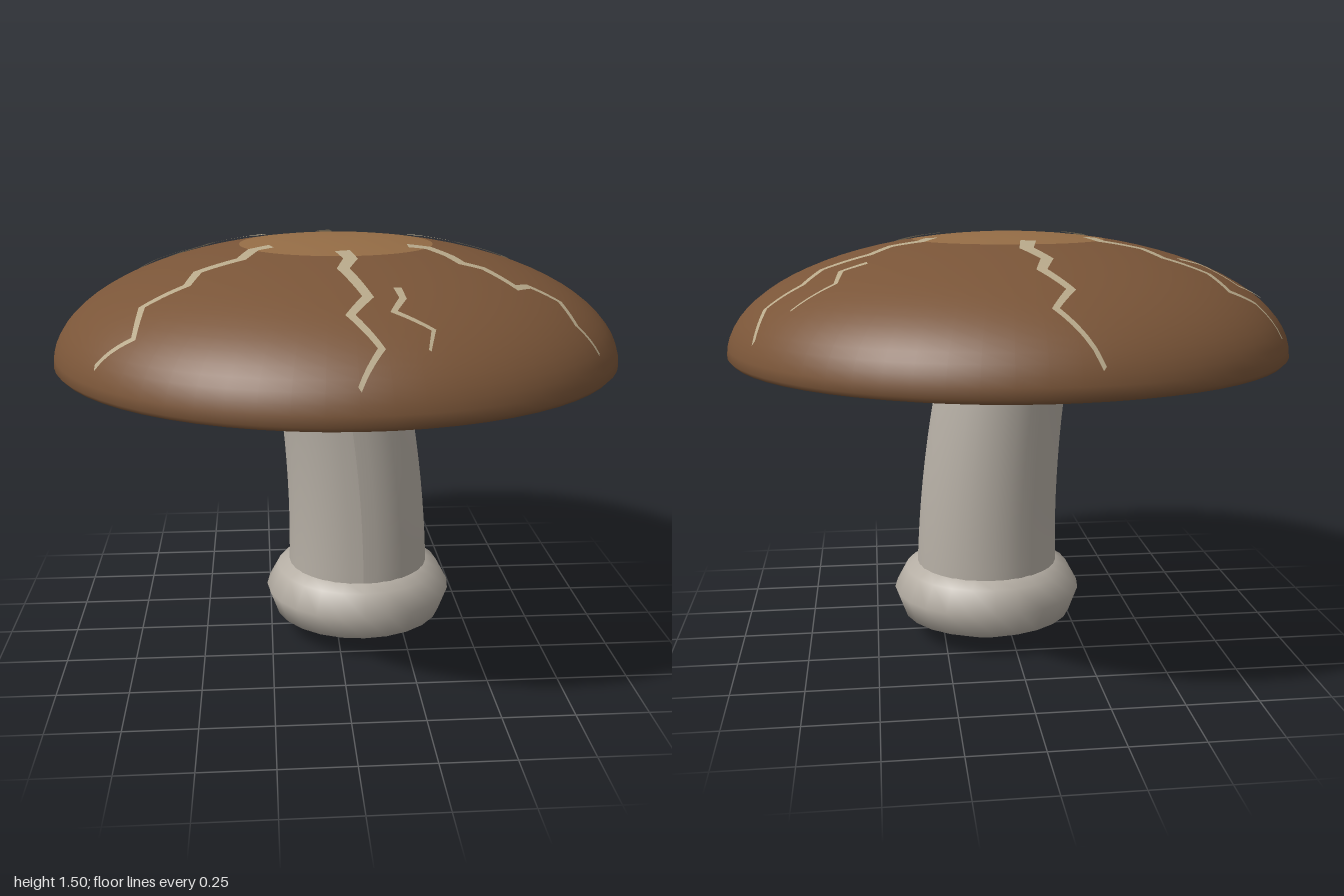
import * as THREE from 'three';

const mat = (name, color, side = THREE.FrontSide) => {
  const m = new THREE.MeshStandardMaterial({ color, side });
  m.name = name;
  return m;
};

// Dome shared by the cap and its cracks: a flattened half ellipsoid
const RIM_Y = 1.09, DOME_H = 0.415;

function domePoint(x, z, lift) {
  const r = Math.hypot(x, z), k = r > 0.985 ? 0.985 / r : 1;
  x *= k; z *= k;
  const h = Math.sqrt(1 - x * x - z * z);
  const normal = new THREE.Vector3(x, h / DOME_H, z).normalize();
  return new THREE.Vector3(x, RIM_Y + DOME_H * h, z).addScaledVector(normal, lift);
}

// Dome profile between two polar angles, in degrees from the top
function domeProfile(from, to, steps) {
  return Array.from({ length: steps + 1 }, (_, i) => {
    const a = THREE.MathUtils.degToRad(from + (to - from) * i / steps);
    return new THREE.Vector2(Math.max(0, Math.sin(a)), RIM_Y + DOME_H * Math.cos(a));
  });
}

// Tapered, mitred ribbon laid over the dome along a zigzag of [x, z] points
function crackGeometry(path, startWidth, endWidth) {
  const pts = path.map(([x, z]) => new THREE.Vector2(x, z));
  const last = pts.length - 1, STEPS = 5;
  const edges = pts.map((p, i) => {
    const d0 = pts[Math.max(i, 1)].clone().sub(pts[Math.max(i, 1) - 1]).normalize();
    const j = Math.min(i, last - 1);
    const d1 = pts[j + 1].clone().sub(pts[j]).normalize();
    const t = d0.clone().add(d1).normalize();
    const miter = Math.min(1.4, 1 / Math.max(0.3, t.dot(d1)));
    const w = THREE.MathUtils.lerp(startWidth, endWidth, i / last) / 2 * miter;
    const n = new THREE.Vector2(t.y, -t.x).multiplyScalar(w);
    return [p.clone().add(n), p.clone().sub(n)];
  });
  const pos = [], index = [];
  for (let i = 0; i <= last * STEPS; i++) {
    const s = Math.min(last - 1, Math.floor(i / STEPS)), f = i / STEPS - s;
    for (const side of [0, 1]) {
      const q = edges[s][side].clone().lerp(edges[s + 1][side], f);
      pos.push(...domePoint(q.x, q.y, 0.007).toArray());
    }
    if (i) {
      const a = 2 * i - 2;
      index.push(a, a + 2, a + 1, a + 1, a + 2, a + 3);
    }
  }
  const g = new THREE.BufferGeometry();
  g.setAttribute('position', new THREE.Float32BufferAttribute(pos, 3));
  g.setIndex(index);
  g.computeVertexNormals();
  return g;
}

const MAIN_CRACKS = [
  [[0, .30], [.02, .39], [-.01, .48], [.05, .67], [-.01, .76], [.07, .88], [0, .97]],
  [[.23, .19], [.30, .19], [.36, .27], [.39, .335], [.46, .345], [.55, .45], [.60, .40], [.70, .42], [.73, .525], [.80, .555]],
  [[-.23, .18], [-.29, .20], [-.33, .30], [-.47, .345], [-.50, .44], [-.64, .48], [-.655, .62], [-.78, .59]],
  [[-.26, -.16], [-.29, -.23], [-.43, -.25], [-.48, -.34], [-.63, -.37], [-.67, -.48], [-.77, -.44], [-.85, -.49]],
  [[-.03, -.31], [-.01, -.42], [-.06, -.53], [-.03, -.62], [-.10, -.74], [-.04, -.83], [-.16, -.97]],
  [[.28, -.13], [.32, -.18], [.42, -.17], [.49, -.24], [.65, -.24], [.71, -.33], [.83, -.34], [.86, -.46]],
];
const SIDE_CRACKS = [
  [[.145, .61], [.155, .67], [.12, .74], [.23, .80], [.21, .87]],
  [[-.55, -.28], [-.64, -.235], [-.745, -.34], [-.85, -.26]],
  [[.50, -.35], [.585, -.355], [.60, -.455], [.74, -.485]],
];

export function createModel() {
  const model = new THREE.Group();
  model.name = 'mushroom';
  const capBrown = mat('cap brown', 0x7a5538, THREE.DoubleSide);
  const crownTan = mat('crown tan', 0x946c45, THREE.DoubleSide);
  const crackCream = mat('crack cream', 0xb8a98a, THREE.DoubleSide);
  const stemGrey = mat('stem grey', 0xb5aea4);
  const add = (name, geometry, material, parent = model) => {
    const mesh = new THREE.Mesh(geometry, material);
    mesh.name = name;
    parent.add(mesh);
    return mesh;
  };

  // Hollow cap with an inward-turned lip, and the lighter crown on top
  const lip = [[0.86, 1.065], [0.95, 1.066], [0.985, 1.074]].map(p => new THREE.Vector2(...p));
  add('cap', new THREE.LatheGeometry([...lip, ...domeProfile(90, 20, 16)], 64), capBrown);
  add('crown', new THREE.LatheGeometry(domeProfile(20, 0, 5), 64), crownTan);

  // Cracks radiating from the crown
  const cracks = new THREE.Group();
  cracks.name = 'cracks';
  model.add(cracks);
  MAIN_CRACKS.forEach(p => add('mainCrack', crackGeometry(p, 0.052, 0.012), crackCream, cracks));
  SIDE_CRACKS.forEach(p => add('sideCrack', crackGeometry(p, 0.026, 0.008), crackCream, cracks));

  // Stem, bending gently sideways towards its foot
  const stemBase = 0.25, stemTop = 1.11, footX = 0.083;
  const stem = new THREE.CylinderGeometry(0.234, 0.262, stemTop - stemBase, 32, 12);
  stem.translate(0, (stemTop + stemBase) / 2, 0);
  const v = stem.attributes.position;
  for (let i = 0; i < v.count; i++) {
    const t = (v.getY(i) - stemBase) / (stemTop - stemBase);
    v.setX(i, v.getX(i) + footX * (1 - t * t));
  }
  stem.computeVertexNormals();
  add('stem', stem, stemGrey);

  // Swollen bulb at the foot
  const bulb = [[0, 0.005], [0.18, 0.03], [0.315, 0.09], [0.348, 0.18], [0.305, 0.26], [0.255, 0.285]];
  add('bulb', new THREE.LatheGeometry(bulb.map(p => new THREE.Vector2(...p)), 24), stemGrey)
    .position.x = footX;

  return model;
}
